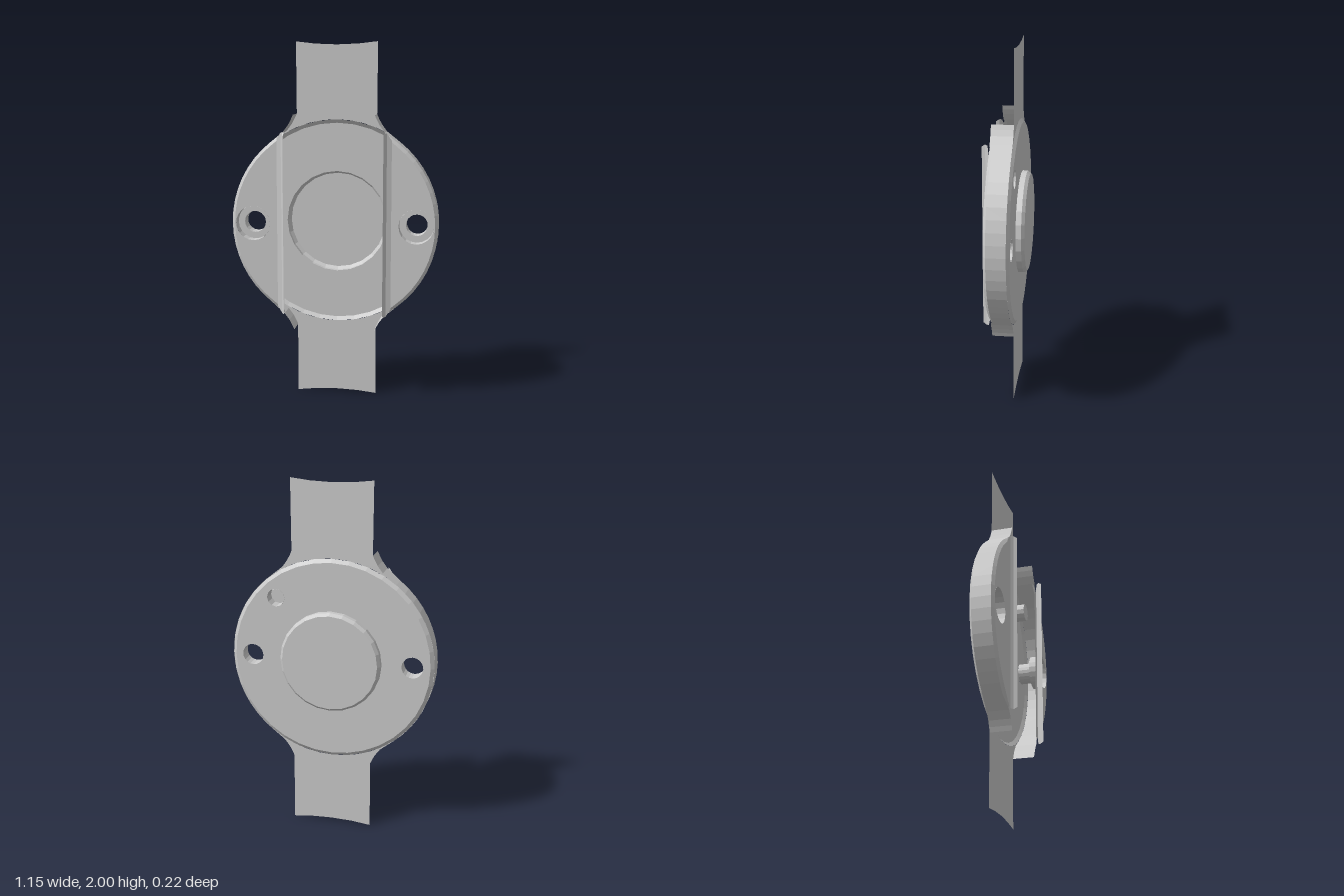
import * as THREE from 'three';

const material = new THREE.MeshStandardMaterial({ color: 0xcccccc, flatShading: true, side: THREE.DoubleSide });
const R = 0.575, BACK = -0.07, FLOOR = -0.055, FACE = 0.065, LIP_X = 0.28;
const BOLT = [0.455, 0], PIN = [0.315, 0.34];

// Sheet joining two matching rows of points
function strip(a, b) {
  const pos = [];
  for (let i = 0; i < a.length - 1; i++) {
    pos.push(...a[i], ...a[i + 1], ...b[i + 1], ...a[i], ...b[i + 1], ...b[i]);
  }
  const g = new THREE.BufferGeometry();
  g.setAttribute('position', new THREE.Float32BufferAttribute(pos, 3));
  g.computeVertexNormals();
  return g;
}

// Turned sheet about the z axis; profile points are [radius, z]
function turned(profile, sides, x = 0, y = 0) {
  return new THREE.LatheGeometry(profile.map(p => new THREE.Vector2(...p)), sides)
    .rotateX(Math.PI / 2).translate(x, y, 0);
}

function hole(shape, x, y, r) {
  shape.holes.push(new THREE.Path().absarc(x, y, r, 0, Math.PI * 2, true));
}

function flat(points, z, holes = []) {
  const s = new THREE.Shape(points.map(p => new THREE.Vector2(p[0], p[1])));
  holes.forEach(h => hole(s, ...h));
  return new THREE.ShapeGeometry(s, 12).translate(0, 0, z);
}

function arc(r, from, to, n) {
  return Array.from({ length: n + 1 }, (_, i) => {
    const a = THREE.MathUtils.degToRad(from + (to - from) * i / n);
    return [r * Math.cos(a), r * Math.sin(a)];
  });
}

const atZ = (pts, z) => pts.map(p => [p[0], p[1], z]);

export function createModel() {
  const root = new THREE.Group();
  root.name = 'strappedDisc';
  const add = (parent, name, geometry) => {
    const m = new THREE.Mesh(geometry, material);
    m.name = name;
    parent.add(m);
    return m;
  };
  const body = new THREE.Group();
  body.name = 'body';
  body.position.y = 1;
  root.add(body);

  // Thin back plate with bevelled rim and raised round pocket
  add(body, 'backPlate', flat(arc(0.555, 0, 350, 35), BACK,
    [[0, 0, 0.285], [...BOLT, 0.06], [-BOLT[0], 0, 0.06], [...PIN, 0.05]]));
  add(body, 'backRim', turned([[0.555, BACK], [R, FLOOR]], 36));
  add(body, 'roundPocket', turned([[0.285, BACK], [0.285, -0.1], [0.27, -0.117], [0, -0.117]], 24));
  add(body, 'pinHole', turned([[0.05, BACK], [0.05, 0], [0, 0]], 12, ...PIN));

  // Flare from the rim to the strap edge
  const tail = [[0.354, 0.453], [LIP_X, 0.512], [0.252, 0.55], [0.236, 0.58], [0.225, 0.605]];

  // Flat straps above and below, with concave ends
  const end = [0.227, 0.12, 0, -0.12, -0.227].map(x => [x, 0.983 + 0.33 * x * x]);
  const mirrored = tail.map(([x, y]) => [-x, y]).reverse();
  const strapOutline = [...tail, ...end, ...mirrored, ...arc(R, 128, 52, 10).slice(1, -1)];
  for (const side of [1, -1]) {
    const strap = add(body, side > 0 ? 'upperStrap' : 'lowerStrap', flat(strapOutline, FLOOR));
    strap.scale.y = side;
  }

  // Hollow side covers, mirrored left and right
  for (const side of [1, -1]) {
    const cover = new THREE.Group();
    cover.name = side > 0 ? 'leftCover' : 'rightCover';
    cover.scale.x = side;
    body.add(cover);

    const rim = arc(R, -52, 52, 16);
    const lowTail = tail.map(([x, y]) => [x, -y]);
    add(cover, 'outerWall', strip(atZ(rim, FLOOR), atZ(rim, 0.05)));
    for (const [name, t] of [['upperFlare', tail], ['lowerFlare', lowTail]]) {
      const front = t.map(([x, y], i) => [x, y, i === 0 ? 0.05 : FACE]);
      add(cover, name, strip(atZ(t, FLOOR), front));
    }

    // Bevelled edge and front face with counterbored hole
    const inner = [[LIP_X, -0.492], ...arc(0.558, -52, 52, 16), [LIP_X, 0.492]];
    const outer = [[LIP_X, -0.512], ...rim, [LIP_X, 0.512]];
    add(cover, 'bevel', strip(atZ(outer, 0.05), atZ(inner, FACE)));
    add(cover, 'frontFace', flat(inner, FACE, [[...BOLT, 0.097]]));
    add(cover, 'boltHole', turned([[0.06, BACK], [0.06, 0.005], [0.097, 0.005], [0.097, FACE]], 20, ...BOLT));

    // Upturned lip along the channel, with a concave fillet
    const section = [[0.276, 0.107, 0.5], [0.281, 0.088, 0.512], [0.292, 0.074, 0.508], [0.318, FACE, 0.47]];
    add(cover, 'lip', strip(section.map(([x, z, h]) => [x, -h, z]), section.map(([x, z, h]) => [x, h, z])));
  }
  return root;
}
